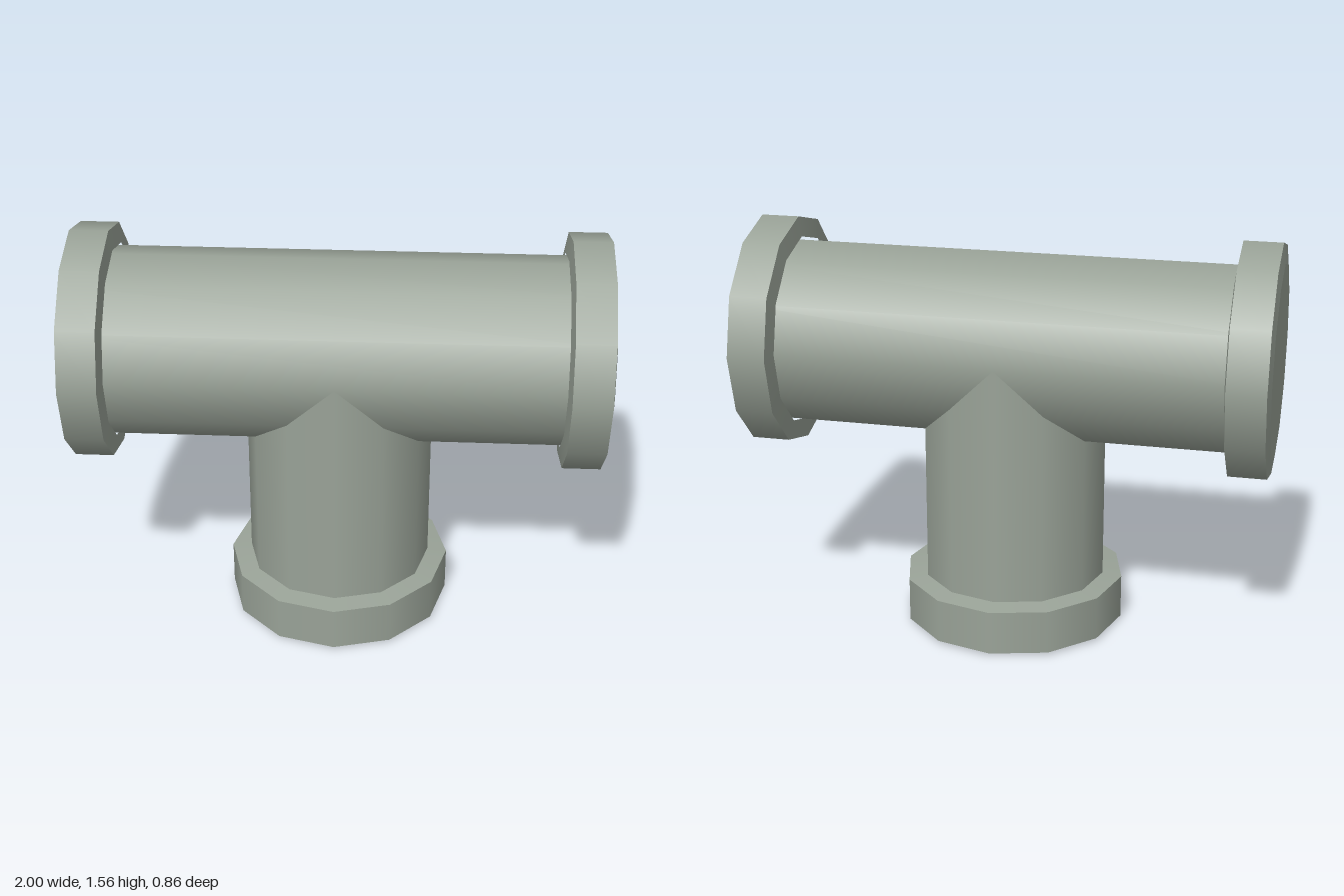
import * as THREE from 'three';

const SIDES = 12;
const PIPE_R = 0.355;
const AXIS_Y = 1.11;

export function createModel() {
  const model = new THREE.Group();
  model.name = 'pipeTee';
  const material = new THREE.MeshStandardMaterial({ color: 0x9aa398 });

  function add(parent, name, geometry) {
    const mesh = new THREE.Mesh(geometry, material);
    mesh.name = name;
    parent.add(mesh);
    return mesh;
  }

  // Open ring between two heights; separate rings keep the rim edges sharp
  function ring(r0, r1, y0, y1) {
    return new THREE.CylinderGeometry(r1, r0, y1 - y0, SIDES, 1, true).translate(0, (y0 + y1) / 2, 0);
  }

  // Collar with its closed outer end at y = 0, running up towards the pipe
  function makeCollar(name, height, stretch) {
    const collar = new THREE.Group();
    collar.name = name;
    const r = 0.43;
    const bevel = 0.01;
    add(collar, 'endBevel', ring(PIPE_R, r, 0, bevel));
    add(collar, 'rim', ring(r, r, bevel, height - bevel));
    add(collar, 'shoulder', ring(r, PIPE_R, height - bevel, height));
    // Same corner directions as the rings, facing outward
    const cap = new THREE.CircleGeometry(PIPE_R, SIDES).rotateX(Math.PI / 2);
    add(collar, 'endCap', cap);
    collar.scale.x = stretch;
    model.add(collar);
    return collar;
  }

  // Straight main pipe along x
  const main = new THREE.CylinderGeometry(PIPE_R, PIPE_R, 1.98, SIDES, 1, true).rotateZ(Math.PI / 2);
  add(model, 'mainPipe', main).position.y = AXIS_Y;

  // Branch pipe reaching the main axis
  add(model, 'branchPipe', ring(PIPE_R, PIPE_R, 0.01, AXIS_Y));

  // Collars on the three ends
  makeCollar('branchCollar', 0.19, 1);
  for (const side of [-1, 1]) {
    const collar = makeCollar(side > 0 ? 'leftCollar' : 'rightCollar', 0.165, 1.035);
    collar.position.set(side, AXIS_Y, 0);
    collar.rotation.z = side * Math.PI / 2;
  }

  return model;
}
